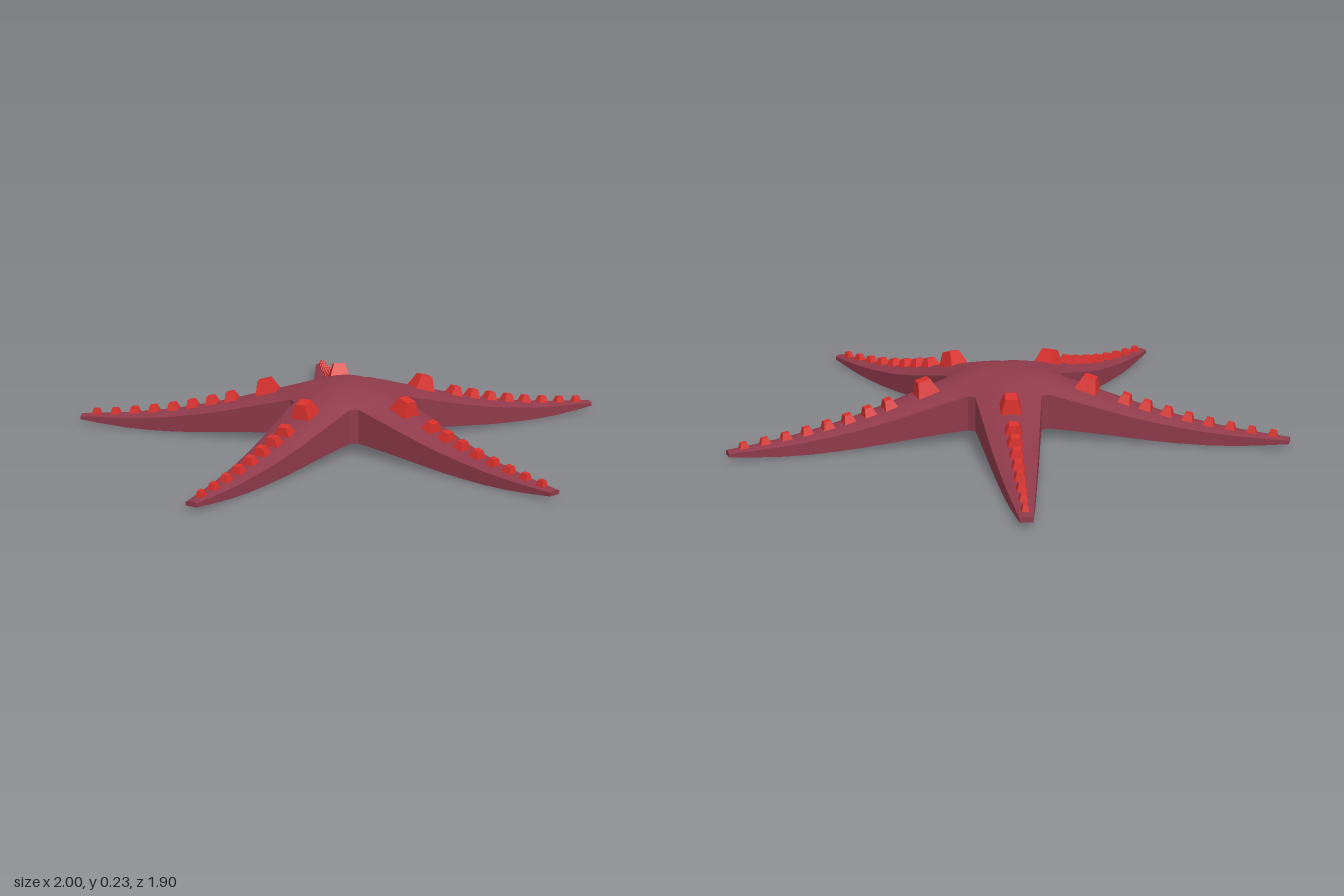
import * as THREE from 'three';
import { toCreasedNormals } from 'three/addons/utils/BufferGeometryUtils.js';

const ARMS = 5;
const CENTRE_Z = -0.095;
const TAN36 = Math.tan(Math.PI / 5);
const COLS = 7; // points across the top (and the underside) of an arm
const NOTCH = 3; // station where neighbouring arms part

// Arm stations from the centre outwards: [radius, half width, ridge height, underside height]
const STATIONS = [
  [0, 0, 0.227, 0.04],
  [0.06, 0.06 * TAN36, 0.223, 0.04],
  [0.12, 0.12 * TAN36, 0.214, 0.04],
  [0.18, 0.18 * TAN36, 0.198, 0.039],
  [0.19, 0.118, 0.195, 0.039],
  [0.27, 0.109, 0.173, 0.034],
  [0.36, 0.099, 0.148, 0.027],
  [0.46, 0.088, 0.121, 0.018],
  [0.56, 0.077, 0.097, 0.009],
  [0.66, 0.065, 0.077, 0.003],
  [0.76, 0.054, 0.061, 0],
  [0.86, 0.043, 0.049, 0.002],
  [0.95, 0.032, 0.041, 0.008],
  [1.044, 0.022, 0.035, 0.017],
];

// Ridge height at any radius
function ridge(r) {
  let i = 1;
  while (i < STATIONS.length - 1 && STATIONS[i][0] < r) i++;
  const [a, b] = [STATIONS[i - 1], STATIONS[i]];
  return THREE.MathUtils.mapLinear(r, a[0], b[0], a[2], b[2]);
}

// Closed cross-section: domed top from -x to +x, then flat underside back again
function section([r, half, top, bottom], i) {
  const drop = i <= NOTCH ? 0.03 * (r / 0.18) ** 2 : 0.03 * (half / 0.125);
  const loop = [];
  for (let j = 0; j < COLS; j++) {
    const u = (2 * j) / (COLS - 1) - 1;
    loop.push(new THREE.Vector3(u * half, top - drop * u * u, r));
  }
  for (let j = COLS - 1; j >= 0; j--) {
    const u = (2 * j) / (COLS - 1) - 1;
    loop.push(new THREE.Vector3(u * half, bottom, r));
  }
  return loop;
}

// All five arms in one skin, so the disc is smooth where they join
function bodyGeometry() {
  const loops = STATIONS.map(section);
  const n = COLS * 2;
  const positions = [];
  const up = new THREE.Vector3(0, 1, 0);
  for (let k = 0; k < ARMS; k++) {
    const angle = (k * Math.PI * 2) / ARMS;
    const tri = (...pts) => {
      for (const p of pts) positions.push(...p.clone().applyAxisAngle(up, angle).toArray());
    };
    for (let i = 0; i < loops.length - 1; i++) {
      for (let j = 0; j < n; j++) {
        const wall = j % COLS === COLS - 1;
        if (wall && i < NOTCH) continue; // no walls inside the disc
        const j2 = (j + 1) % n;
        const a = loops[i][j], b = loops[i + 1][j], c = loops[i + 1][j2], d = loops[i][j2];
        tri(a, b, c);
        if (i > 0) tri(a, c, d);
      }
    }
    // Blunt arm tip
    const tip = loops[loops.length - 1];
    for (let j = 1; j < n - 1; j++) tri(tip[0], tip[j + 1], tip[j]);
  }
  const geometry = new THREE.BufferGeometry();
  geometry.setAttribute('position', new THREE.Float32BufferAttribute(positions, 3));
  return toCreasedNormals(geometry, THREE.MathUtils.degToRad(35));
}

// Unit four-sided stud with a narrower flat top, standing on y = 0
function studGeometry() {
  const geometry = new THREE.CylinderGeometry(0.55 * Math.SQRT1_2, Math.SQRT1_2, 1, 4);
  geometry.rotateY(Math.PI / 4);
  geometry.translate(0, 0.5, 0);
  return geometry;
}

export function createModel() {
  const model = new THREE.Group();
  model.name = 'starfish';
  const skin = new THREE.MeshStandardMaterial({ color: 0x8f3a4a });
  const red = new THREE.MeshStandardMaterial({ color: 0xd8302c, flatShading: true });

  const body = new THREE.Mesh(bodyGeometry(), skin);
  body.name = 'body';
  body.position.z = CENTRE_Z;
  model.add(body);

  // A row of studs along each arm: one large, then eight shrinking
  const stud = studGeometry();
  for (let k = 0; k < ARMS; k++) {
    const row = new THREE.Group();
    row.name = 'studRow';
    row.position.z = CENTRE_Z;
    row.rotation.y = (k * Math.PI * 2) / ARMS;
    for (let s = 0; s < 9; s++) {
      const r = s === 0 ? 0.305 : 0.445 + (s - 1) * 0.077;
      const t = (s - 1) / 7;
      const mesh = new THREE.Mesh(stud, red);
      mesh.name = s === 0 ? 'largeStud' : 'smallStud';
      if (s === 0) mesh.scale.set(0.076, 0.055, 0.084);
      else mesh.scale.set(0.062 - 0.034 * t, 0.036 - 0.01 * t, 0.05 - 0.012 * t);
      mesh.position.set(0, ridge(r) - 0.006, r);
      mesh.rotation.x = Math.atan2(ridge(r - 0.04) - ridge(r + 0.04), 0.08);
      row.add(mesh);
    }
    model.add(row);
  }
  return model;
}
